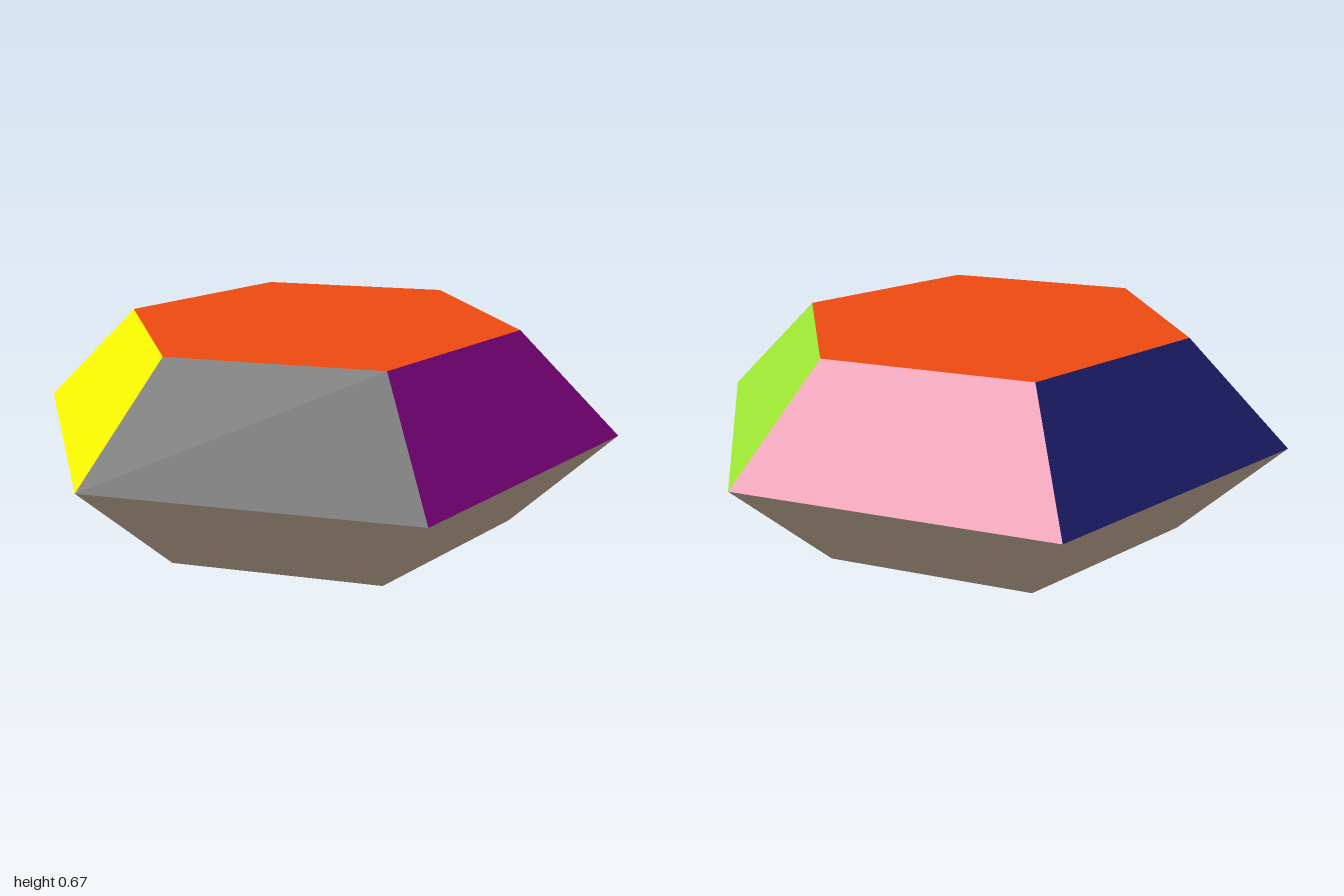
import * as THREE from 'three';

const RIM = 1, CAP = 2 / 3, HALF = 1 / 3, SIDES = 6;

export function createModel() {
  const model = new THREE.Group();
  model.name = 'hexagonalBifrustum';

  const add = (name, geometry, color, y) => {
    const material = new THREE.MeshStandardMaterial({ color, flatShading: true });
    const mesh = new THREE.Mesh(geometry, material);
    mesh.name = name;
    mesh.position.y = y;
    model.add(mesh);
  };

  // Six coloured upper panels, going round from +x towards +z
  const panels = [
    ['frontLeftPanel', 0x800080],
    ['frontPanel', 0x2c2c2c],
    ['frontRightPanel', 0xf0f000],
    ['backRightPanel', 0x1e1e70],
    ['backPanel', 0xdb7596],
    ['backLeftPanel', 0x9ae030],
  ];
  const step = (Math.PI * 2) / SIDES;
  panels.forEach(([name, color], i) => {
    const start = Math.PI / 2 - (i + 1) * step;
    add(name, new THREE.CylinderGeometry(CAP, RIM, HALF, 1, 1, true, start, step), color, HALF * 1.5);
  });

  // Flat top
  add('topFace', new THREE.CircleGeometry(CAP, SIDES).rotateX(-Math.PI / 2), 0xf04a10, HALF * 2);

  // Lower half, tapering to a flat base
  const tan = 0xd2bba3;
  add('lowerSides', new THREE.CylinderGeometry(RIM, CAP, HALF, SIDES, 1, true, Math.PI / 2), tan, HALF / 2);
  add('baseFace', new THREE.CircleGeometry(CAP, SIDES).rotateX(Math.PI / 2), tan, 0);

  return model;
}
